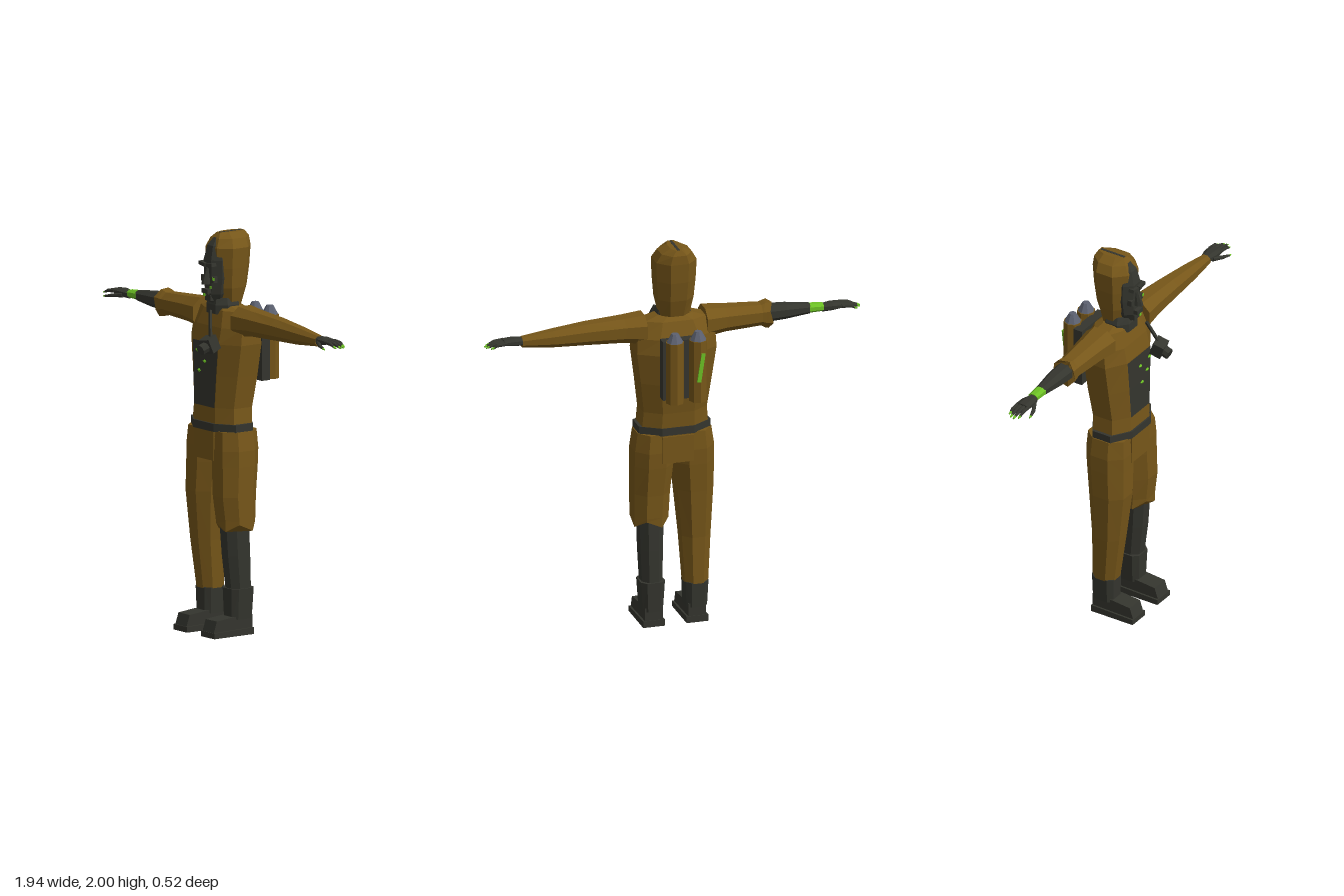
import * as THREE from 'three';

const mat = (name, color) => Object.assign(new THREE.MeshStandardMaterial({ color }), { name });

// Eight-sided cross-section; w is the half width of the flat facets
const octagon = (w) => [[w, 1], [1, w], [1, -w], [w, -1], [-w, -1], [-1, -w], [-1, w], [-w, 1]];

// Skin rings of [t, u centre, v centre, u radius, v radius, jag].
// axis 'y': t = y, u = x, v = z.  axis 'x': t = x, u = z, v = y.
function loft(rings, axis = 'y', w = 0.45) {
  const prof = octagon(w), n = prof.length, pos = [], idx = [];
  rings.forEach(([t, cu, cv, ru, rv, jag = 0]) => prof.forEach(([a, b], j) => {
    const u = cu + a * ru, v = cv + b * rv, s = t + (j % 2 ? jag : -jag);
    pos.push(...(axis === 'y' ? [u, s, v] : [s, v, u]));
  }));
  for (let i = 0; i < rings.length - 1; i++) {
    for (let j = 0; j < n; j++) {
      const a = i * n + j, b = i * n + (j + 1) % n;
      idx.push(a, b, b + n, a, b + n, a + n);
    }
  }
  const top = (rings.length - 1) * n;
  for (let j = 1; j < n - 1; j++) idx.push(0, j + 1, j, top, top + j, top + j + 1);
  const g = new THREE.BufferGeometry();
  g.setAttribute('position', new THREE.Float32BufferAttribute(pos, 3));
  g.setIndex(idx);
  return g;
}

export function createModel() {
  const root = new THREE.Group();
  const cloth = mat('ochre cloth', 0x765619);
  const dark = mat('dark rubber', 0x34352e);
  const green = mat('toxic green', 0x6cc024);
  const metal = mat('grey metal', 0x5c6170);

  const add = (name, geo, material, parent = root) => {
    const g = geo.index ? geo.toNonIndexed() : geo;
    g.computeVertexNormals();
    const m = new THREE.Mesh(g, material);
    m.name = name;
    parent.add(m);
    return m;
  };
  const box = (name, size, at, material, parent) => {
    const m = add(name, new THREE.BoxGeometry(...size), material, parent);
    m.position.set(...at);
    return m;
  };
  const group = (name) => {
    const g = new THREE.Group();
    g.name = name;
    root.add(g);
    return g;
  };

  // Torso, belt and hips
  add('torso', loft([
    [1.03, 0, 0.04, 0.172, 0.11], [1.14, 0, 0.035, 0.163, 0.112], [1.3, 0, 0.022, 0.183, 0.122],
    [1.46, 0, 0.015, 0.205, 0.125], [1.54, 0, 0.012, 0.2, 0.11], [1.62, 0, 0.015, 0.155, 0.08],
    [1.64, 0, 0.02, 0.09, 0.06],
  ], 'y', 0.5), cloth);
  add('belt', loft([[1.022, 0, 0.042, 0.185, 0.116], [1.062, 0, 0.042, 0.185, 0.116]]), dark);
  add('hips', loft([
    [0.88, 0, 0.04, 0.1, 0.085], [0.95, 0, 0.04, 0.175, 0.105], [1.025, 0, 0.04, 0.18, 0.108],
  ]), cloth);
  box('frontFlap', [0.16, 0.15, 0.03], [0, 0.95, 0.138], cloth);
  box('backFlap', [0.16, 0.14, 0.03], [0, 0.945, -0.06], cloth);

  // Chest panel lying on the flat front facet
  const panel = new THREE.BufferGeometry();
  panel.setAttribute('position', new THREE.Float32BufferAttribute([
    -0.083, 1.14, 0.151, 0.083, 1.14, 0.151, -0.093, 1.3, 0.148,
    0.093, 1.3, 0.148, -0.104, 1.46, 0.144, 0.104, 1.46, 0.144], 3));
  panel.setIndex([0, 1, 3, 0, 3, 2, 2, 3, 5, 2, 5, 4]);
  add('chestPanel', panel, dark);
  [[-0.03, 1.42], [0.05, 1.435], [0.03, 1.37], [-0.015, 1.32]].forEach(([x, y]) => {
    const s = add('slimeSpot', new THREE.OctahedronGeometry(0.013), green);
    s.position.set(x, y, 0.172);
    s.scale.set(1.2, 0.8, 0.6);
  });

  // Neck, hood and face
  add('neck', loft([[1.6, 0, 0.035, 0.085, 0.075], [1.645, 0, 0.035, 0.085, 0.075], [1.68, 0, 0.03, 0.068, 0.07]]), dark);
  add('hood', loft([
    [1.64, 0, 0.01, 0.074, 0.062], [1.73, 0, 0.01, 0.092, 0.088], [1.83, 0, 0.008, 0.1, 0.1],
    [1.93, 0, 0.005, 0.104, 0.104], [1.975, 0, -0.005, 0.078, 0.092], [2, 0, -0.01, 0.032, 0.075],
  ]), cloth);
  box('hoodSlit', [0.014, 0.006, 0.14], [0, 1.998, -0.01], dark);
  const face = group('face');
  add('faceShell', loft([
    [1.655, 0, 0.06, 0.035, 0.05], [1.7, 0, 0.062, 0.056, 0.066], [1.78, 0, 0.06, 0.068, 0.068],
    [1.87, 0, 0.06, 0.068, 0.072], [1.94, 0, 0.055, 0.052, 0.06], [1.978, 0, 0.04, 0.025, 0.045],
  ]), dark, face);
  add('nose', loft([[1.75, 0, 0.13, 0.018, 0.034], [1.77, 0, 0.13, 0.015, 0.03], [1.83, 0, 0.125, 0.008, 0.012]]), dark, face);
  box('lips', [0.05, 0.022, 0.04], [0, 1.715, 0.13], dark, face);
  box('chin', [0.045, 0.03, 0.035], [0, 1.68, 0.113], dark, face);
  for (const s of [-1, 1]) {
    const brow = box('brow', [0.05, 0.018, 0.03], [s * 0.028, 1.848, 0.132], dark, face);
    brow.rotation.z = s * 0.15;
    box('cheek', [0.026, 0.03, 0.03], [s * 0.038, 1.775, 0.118], dark, face);
  }
  [[0.05, 1.78, 0.134], [0, 1.698, 0.151], [0.025, 1.735, 0.132]].forEach(([x, y, z]) =>
    box('faceSlime', [0.012, 0.014, 0.005], [x, y, z], green, face));

  // Arms run along +x; the right arm is mirrored and has a torn sleeve
  for (const side of [1, -1]) {
    const arm = group(side > 0 ? 'leftArm' : 'rightArm');
    arm.scale.x = side;
    const upper = [[0.155, 0.02, 1.575, 0.085, 0.075], [0.26, 0.022, 1.578, 0.072, 0.063], [0.45, 0.024, 1.576, 0.058, 0.054]];
    if (side > 0) {
      add('sleeve', loft([...upper, [0.62, 0.025, 1.57, 0.044, 0.043], [0.78, 0.027, 1.567, 0.027, 0.026]], 'x'), cloth, arm);
    } else {
      add('tornSleeve', loft([...upper, [0.47, 0.024, 1.573, 0.06, 0.064], [0.495, 0.024, 1.573, 0.062, 0.068, 0.008]], 'x'), cloth, arm);
      add('forearm', loft([[0.46, 0.024, 1.577, 0.048, 0.043], [0.58, 0.024, 1.577, 0.042, 0.038], [0.705, 0.024, 1.576, 0.027, 0.025]], 'x'), dark, arm);
      add('wristBand', loft([[0.7, 0.024, 1.577, 0.028, 0.023], [0.775, 0.024, 1.575, 0.025, 0.019]], 'x'), green, arm);
    }
    add('palm', loft([[0.77, 0.026, 1.57, 0.023, 0.019], [0.82, 0.028, 1.574, 0.036, 0.02], [0.875, 0.026, 1.577, 0.037, 0.012]], 'x'), dark, arm);
    [[-0.004, 0.945], [0.016, 0.965], [0.036, 0.97], [0.056, 0.955]].forEach(([z, tip]) => {
      add('finger', loft([[0.865, z, 1.577, 0.009, 0.009], [0.915, z, 1.573, 0.008, 0.008], [tip - 0.015, z, 1.563, 0.006, 0.006]], 'x'), dark, arm);
      add('fingertip', loft([[tip - 0.015, z, 1.563, 0.006, 0.006], [tip, z, 1.558, 0.003, 0.003]], 'x'), green, arm);
    });
    add('thumb', loft([[0.8, 0.05, 1.566, 0.012, 0.012], [0.85, 0.078, 1.56, 0.01, 0.009], [0.895, 0.09, 1.552, 0.006, 0.005]], 'x'), dark, arm);
    add('thumbTip', loft([[0.895, 0.09, 1.552, 0.006, 0.005], [0.908, 0.091, 1.549, 0.003, 0.003]], 'x'), green, arm);
  }

  // Legs; the left trouser is torn off below the knee
  for (const side of [1, -1]) {
    const leg = group(side > 0 ? 'leftLeg' : 'rightLeg');
    leg.scale.x = side;
    const thigh = [[0.7, 0.112, 0.05, 0.092, 0.102], [0.85, 0.105, 0.042, 0.1, 0.108], [0.93, 0.104, 0.04, 0.1, 0.11], [1.025, 0.1, 0.04, 0.09, 0.105]];
    if (side > 0) {
      add('tornTrouser', loft([[0.545, 0.115, 0.045, 0.088, 0.09, 0.018], [0.58, 0.115, 0.045, 0.088, 0.092], ...thigh]), cloth, leg);
      add('shin', loft([[0.22, 0.113, 0.026, 0.052, 0.06], [0.4, 0.112, 0.04, 0.058, 0.068], [0.57, 0.11, 0.05, 0.062, 0.07]]), dark, leg);
      add('bootShaft', loft([[0.08, 0.112, 0.028, 0.052, 0.062], [0.235, 0.113, 0.027, 0.062, 0.068]], 'y', 0.6), dark, leg);
    } else {
      add('trouser', loft([[0.205, 0.116, 0.028, 0.06, 0.064], [0.45, 0.117, 0.045, 0.074, 0.08], ...thigh]), cloth, leg);
      add('bootShaft', loft([[0.08, 0.115, 0.028, 0.053, 0.06], [0.21, 0.116, 0.028, 0.059, 0.063]], 'y', 0.6), dark, leg);
    }
    // Boot upper and sole, extruded from the side outline
    const slab = (name, outline, width) => {
      const shape = new THREE.Shape(outline.map((p) => new THREE.Vector2(...p)));
      const g = new THREE.ExtrudeGeometry(shape, { depth: width, bevelEnabled: false });
      g.rotateY(-Math.PI / 2).translate(0.112 + width / 2, 0, 0);
      add(name, g, dark, leg);
    };
    slab('sole', [[-0.03, 0], [0.215, 0], [0.215, 0.028], [-0.03, 0.034]], 0.112);
    slab('bootUpper', [[-0.026, 0.03], [0.212, 0.026], [0.192, 0.085], [0.09, 0.095], [-0.026, 0.1]], 0.092);
  }

  // Backpack with two tanks
  const pack = group('backpack');
  box('backBoard', [0.22, 0.31, 0.05], [0, 1.405, -0.147], dark, pack);
  for (const s of [-1, 1]) {
    const tank = add('tank', new THREE.CylinderGeometry(0.046, 0.046, 0.32, 8), cloth, pack);
    tank.position.set(s * 0.06, 1.41, -0.208);
    const cap = add('tankCap', new THREE.CylinderGeometry(0.018, 0.042, 0.045, 8), metal, pack);
    cap.position.set(s * 0.06, 1.592, -0.208);
  }
  box('tankSlime', [0.02, 0.15, 0.008], [-0.062, 1.435, -0.254], green, pack).rotation.z = 0.15;

  // Respirator hanging from a strap
  const mask = group('respirator');
  const strap = box('strap', [0.014, 0.14, 0.012], [0.077, 1.565, 0.172], dark, mask);
  strap.quaternion.setFromUnitVectors(new THREE.Vector3(0, 1, 0), new THREE.Vector3(-0.05, 0.12, -0.035).normalize());
  box('maskBody', [0.07, 0.075, 0.06], [0.103, 1.468, 0.195], dark, mask).rotation.set(0.35, 0.2, 0.1);
  const filter = add('filter', new THREE.CylinderGeometry(0.028, 0.028, 0.04, 8), dark, mask);
  filter.position.set(0.105, 1.452, 0.235);
  filter.rotation.x = Math.PI / 2 + 0.35;

  return root;
}
